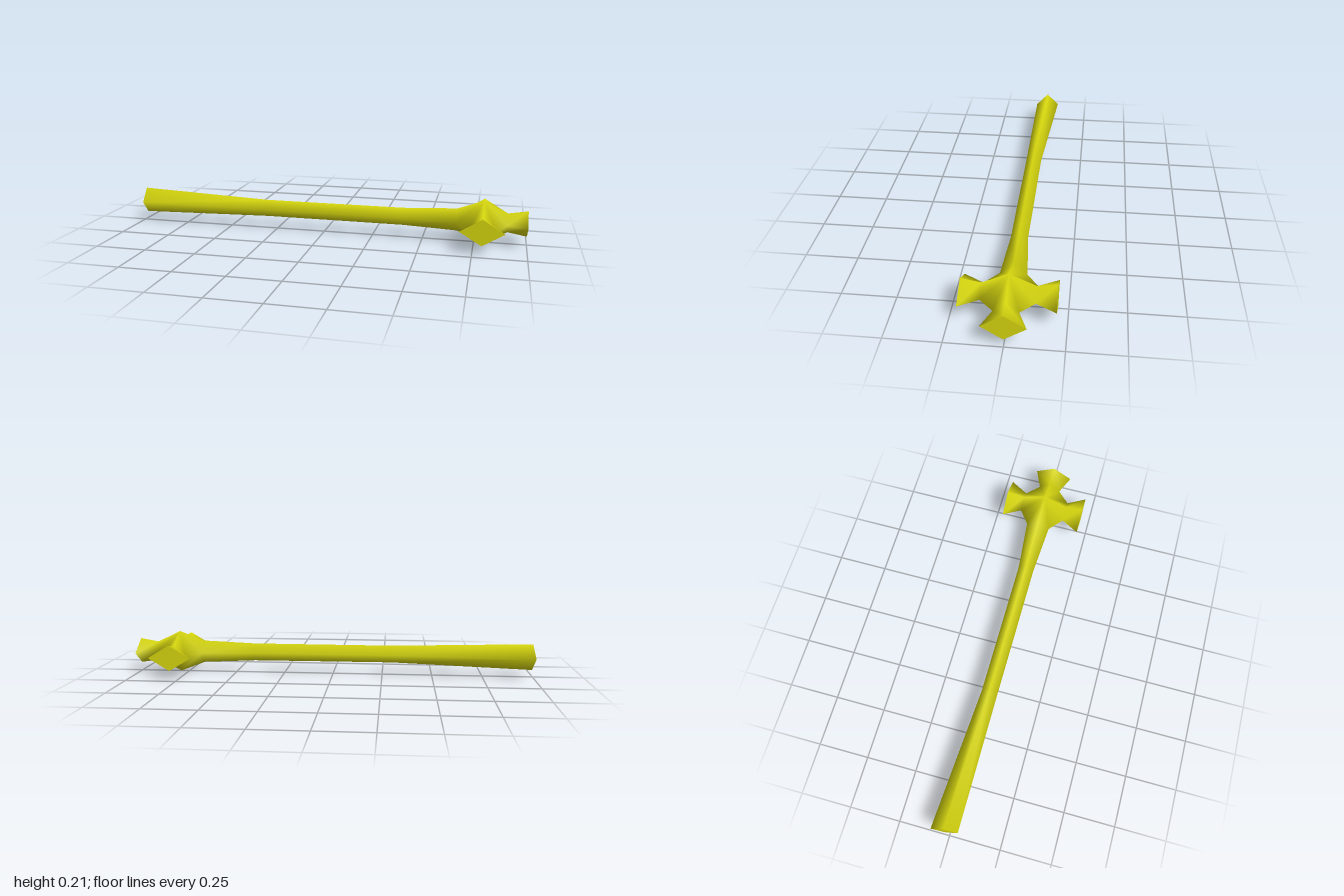
import * as THREE from 'three';

const HUB_X = 0.792, MID_Y = 0.108;

// Rings of each arm: [distance from hub, half width, half height, sideways shift, skew of the end]
const headArm = [[0.115, 0.055, 0.047, 0, 0], [0.208, 0.095, 0.063, 0, 0]];
const sideArm = [[0.117, 0.055, 0.047, 0, 0], [0.206, 0.105, 0.063, 0, 0]];
const shaft = [
  [0.126, 0.06, 0.056, 0.004, 0], [0.39, 0.04, 0.044, 0, 0],
  [1.09, 0.04, 0.043, 0, 0], [1.785, 0.064, 0.065, 0.021, 0.007],
];
// Arms in order around the hub: +x, +z, -x, -z
const arms = [
  { name: 'headTip', rings: headArm, d: [1, 0] },
  { name: 'frontArm', rings: sideArm, d: [0, 1] },
  { name: 'shaft', rings: shaft, d: [-1, 0] },
  { name: 'backArm', rings: sideArm, d: [0, -1] },
];

// Diamond section: top, side, bottom, other side
function diamond([dx, dz], [dist, w, h, shift, skew]) {
  return [[0, h], [w, 0], [0, -h], [-w, 0]].map(([a, y]) => {
    const s = a + shift, r = dist + skew * Math.sign(a);
    return [HUB_X + dx * r - dz * s, MID_Y + y, dz * r + dx * s];
  });
}

function geometry(points, index) {
  const g = new THREE.BufferGeometry();
  g.setAttribute('position', new THREE.Float32BufferAttribute(points.flat(), 3));
  g.setIndex(index);
  g.computeVertexNormals();
  return g;
}

export function createModel() {
  const group = new THREE.Group();
  const yellow = new THREE.MeshStandardMaterial({ color: 0xd8d80f });
  yellow.name = 'yellow';
  const add = (name, geo) => {
    const mesh = new THREE.Mesh(geo, yellow);
    mesh.name = name;
    group.add(mesh);
  };

  // One smooth skin: hub apexes are points 0 and 1, then the rings of every arm
  const points = [[HUB_X, 0.211, 0], [HUB_X, 0.003, 0]];
  const index = [];
  const necks = [];
  for (const { name, rings, d } of arms) {
    const start = points.length;
    necks.push(start);
    const sections = rings.map((r) => diamond(d, r));
    points.push(...sections.flat());
    for (let i = 0; i < rings.length - 1; i++) {
      for (let j = 0; j < 4; j++) {
        const a = start + i * 4 + j, b = start + i * 4 + (j + 1) % 4;
        index.push(a, b, a + 4, b, b + 4, a + 4);
      }
    }
    // Flat diamond end
    add(name + 'End', geometry(sections.at(-1), [0, 1, 2, 0, 2, 3]));
  }

  // Hub facets joining the apexes to the arm necks
  necks.forEach((n, i) => {
    const next = necks[(i + 1) % 4] + 3;
    index.push(0, n + 1, n, 0, n, n + 3, 0, next, n + 1);
    index.push(1, n + 2, n + 1, 1, n + 3, n + 2, 1, n + 1, next);
  });
  add('shaftAndHead', geometry(points, index));
  return group;
}
